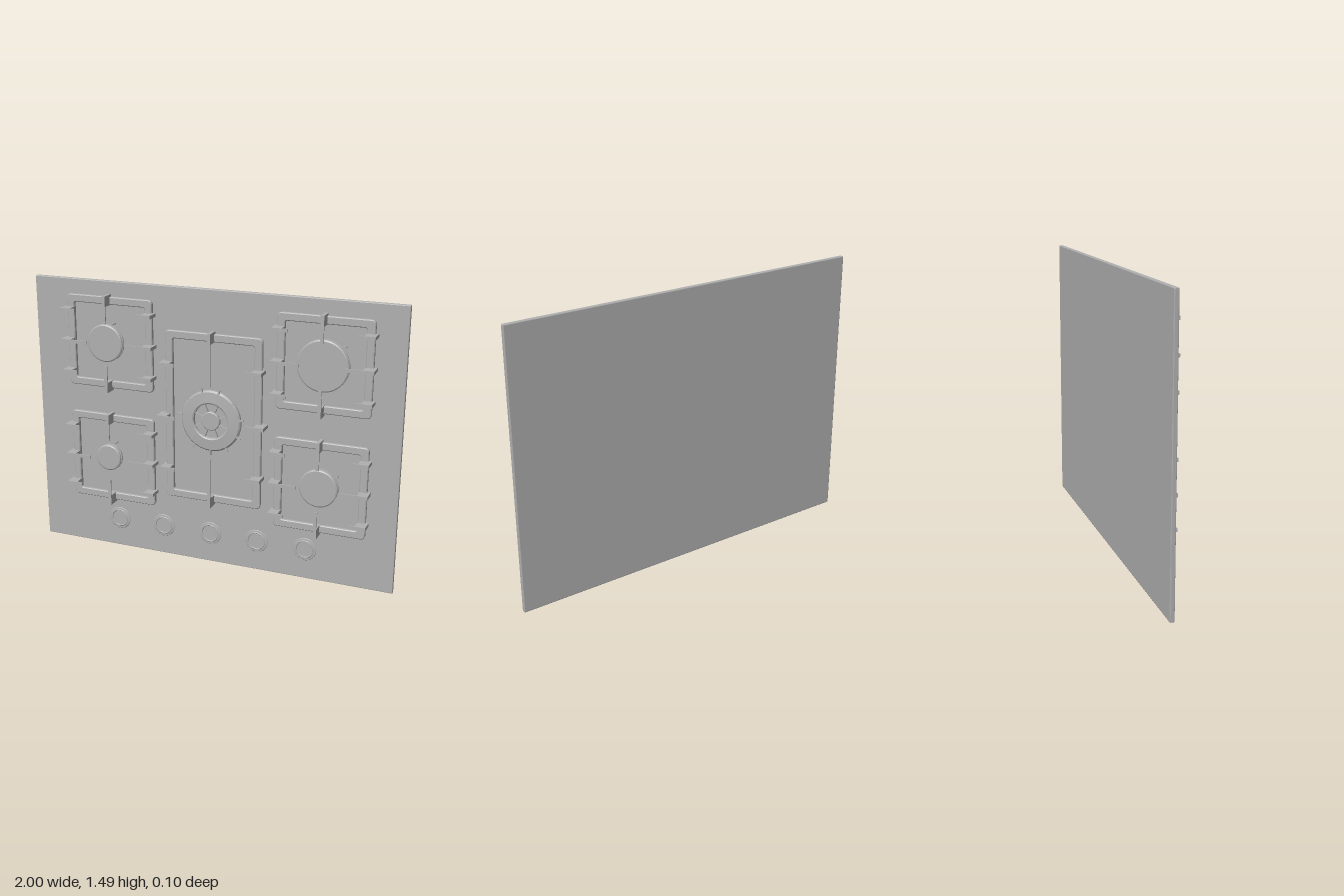
import * as THREE from 'three';

const steel = new THREE.MeshStandardMaterial({ color: 0xb0b0b0 });
steel.name = 'grey steel';
const TOP = -0.024; // front surface of the panel
const RIM = 0.048;  // outermost plane of the pan supports

function add(parent, name, geo, x = 0, y = 0, z = 0) {
  const m = new THREE.Mesh(geo, steel);
  m.name = name;
  m.position.set(x, y, z);
  parent.add(m);
  return m;
}

function roundRect(P, x0, y0, x1, y1, r) {
  const s = new P();
  s.moveTo(x0 + r, y0);
  s.lineTo(x1 - r, y0); s.absarc(x1 - r, y0 + r, r, -Math.PI / 2, 0);
  s.lineTo(x1, y1 - r); s.absarc(x1 - r, y1 - r, r, 0, Math.PI / 2);
  s.lineTo(x0 + r, y1); s.absarc(x0 + r, y1 - r, r, Math.PI / 2, Math.PI);
  s.lineTo(x0, y0 + r); s.absarc(x0 + r, y0 + r, r, Math.PI, Math.PI * 1.5);
  return s;
}

// Profile of [radius, z] turned about the z axis; each segment keeps a hard edge
function turned(parent, name, pts, x, y) {
  const g = new THREE.Group();
  g.name = name;
  for (let i = 0; i + 1 < pts.length; i++) {
    const seg = [pts[i], pts[i + 1]].map(p => new THREE.Vector2(p[0], p[1]));
    add(g, name + 'Face', new THREE.LatheGeometry(seg, 48).rotateX(Math.PI / 2));
  }
  g.position.set(x, y, 0);
  parent.add(g);
  return g;
}

// Finger from its outer end inward along dx, dy: a tall foot and a thin blade
function finger(parent, x, y, dx, dy, len) {
  const W = 0.018, foot = 0.055, g = new THREE.Group();
  g.name = 'supportFinger';
  add(g, 'foot', new THREE.BoxGeometry(foot, W, RIM - TOP), foot / 2, 0, (RIM + TOP) / 2);
  add(g, 'blade', new THREE.BoxGeometry(len - foot, W, 0.007), (len + foot) / 2, 0, RIM - 0.0035);
  g.position.set(x, y, 0);
  g.rotation.z = Math.atan2(dy, dx);
  parent.add(g);
}

function grate(parent, name, o) {
  const g = new THREE.Group();
  g.name = name;
  const { x0, y0, x1, y1, cx, cy, t, row, vLen, midLen, midOut } = o;
  const s = roundRect(THREE.Shape, x0, y0, x1, y1, 0.02);
  s.holes.push(roundRect(THREE.Path, x0 + t, y0 + t, x1 - t, y1 - t, 0.012));
  add(g, 'frame', new THREE.ExtrudeGeometry(s, {
    depth: 0.014, bevelThickness: 0.004, bevelSize: 0.004, bevelOffset: -0.004,
    bevelSegments: 1, curveSegments: 6,
  }), 0, 0, TOP);
  finger(g, cx, y1 + 0.013, 0, -1, vLen);
  finger(g, cx, y0 - 0.013, 0, 1, vLen);
  for (const k of [-1, 0, 1]) {
    const out = k ? 0.014 : midOut, len = k ? 0.085 : midLen;
    finger(g, x0 - out, cy + k * row, 1, 0, len);
    finger(g, x1 + out, cy + k * row, -1, 0, len);
  }
  parent.add(g);
}

function burner(parent, x, y, r, sx, sy) {
  turned(parent, 'burner', [
    [r * 0.9, TOP], [r * 0.9, -0.012], [r, -0.01], [r, -0.002], [r * 0.88, 0],
    [r * 0.88, 0.007], [r, 0.008], [r, 0.015], [r - 0.006, 0.019], [0, 0.019],
  ], x, y);
  // Igniter pin
  add(parent, 'igniter', new THREE.CylinderGeometry(0.005, 0.005, 0.035, 10).rotateX(Math.PI / 2),
    sx, sy, TOP + 0.0175);
}

export function createModel() {
  const hob = new THREE.Group();
  hob.name = 'gasHob';

  // Flat panel with softened edges
  const panel = roundRect(THREE.Shape, -1, 0, 1, 1.49, 0.004);
  add(hob, 'panel', new THREE.ExtrudeGeometry(panel, {
    depth: 0.016, bevelThickness: 0.004, bevelSize: 0.004, bevelOffset: -0.004,
    bevelSegments: 2, curveSegments: 3,
  }), 0, 0, -0.044);

  // Four corner pan supports and the large middle one
  for (const [x0, x1, cx] of [[-0.805, -0.316, -0.563], [0.358, 0.845, 0.6]])
    for (const y0 of [0.28, 0.92])
      grate(hob, 'cornerSupport', {
        x0, x1, cx, y0, y1: y0 + 0.49, cy: y0 + 0.248, t: 0.04,
        row: 0.166, vLen: 0.145, midLen: 0.148, midOut: 0.016,
      });
  grate(hob, 'middleSupport', {
    x0: -0.243, x1: 0.285, cx: 0.02, y0: 0.355, y1: 1.267, cy: 0.812, t: 0.041,
    row: 0.284, vLen: 0.275, midLen: 0.102, midOut: 0.03,
  });

  // Corner burners
  burner(hob, -0.578, 1.167, 0.1, -0.535, 1.27);
  burner(hob, 0.6, 1.167, 0.131, 0.706, 1.267);
  burner(hob, -0.578, 0.53, 0.072, -0.54, 0.615);
  burner(hob, 0.6, 0.53, 0.1, 0.69, 0.6);

  // Middle burner: outer ring, recess with ribs, hub
  const wok = turned(hob, 'middleBurner', [
    [0.145, TOP], [0.145, -0.01], [0.163, -0.008], [0.163, 0.006], [0.155, 0.014],
    [0.1, 0.018], [0.093, 0.014], [0.093, -0.004], [0.05, -0.004],
    [0.05, 0.012], [0.046, 0.015], [0, 0.015],
  ], 0.016, 0.812);
  for (let i = 0; i < 8; i++) {
    const a = (i + 0.5) * Math.PI / 4;
    add(wok, 'rib', new THREE.BoxGeometry(0.046, 0.008, 0.014),
      Math.cos(a) * 0.071, Math.sin(a) * 0.071, 0.003).rotation.z = a;
  }
  for (let i = 0; i < 11; i++) {
    const a = (i + 0.25) * Math.PI * 2 / 11;
    add(wok, 'prong', new THREE.BoxGeometry(0.026, 0.008, 0.01),
      Math.cos(a) * 0.17, Math.sin(a) * 0.17, 0.014).rotation.z = a;
  }

  // Control dials: low discs with a raised inner ring
  for (const x of [-0.54, -0.273, 0, 0.263, 0.53])
    turned(hob, 'controlDial', [
      [0.063, TOP], [0.061, -0.0215], [0.05, -0.0205], [0.048, -0.0185],
      [0.044, -0.0185], [0.042, -0.0215], [0, -0.0215],
    ], x, 0.166);

  return hob;
}
